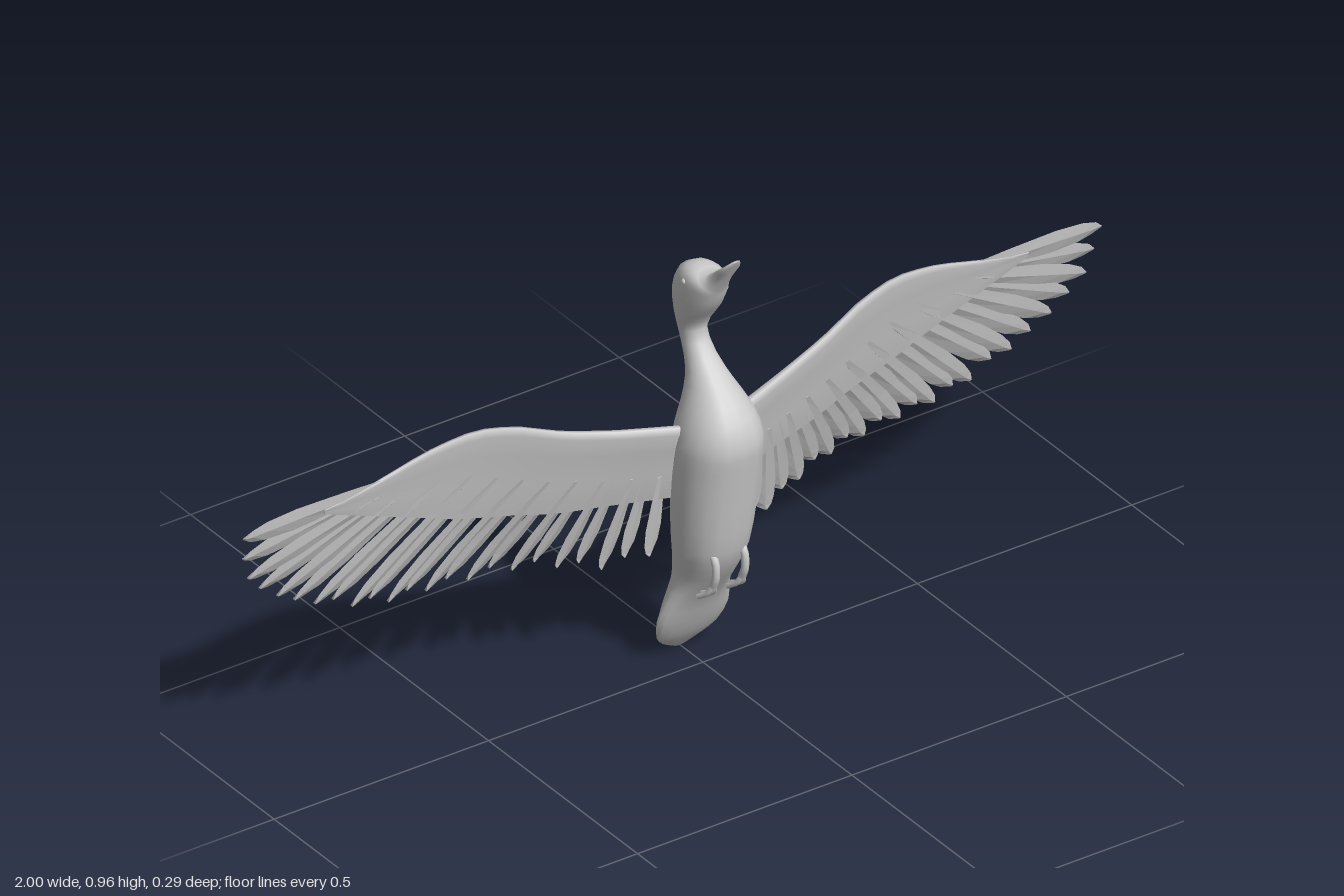
import * as THREE from 'three';

const material = new THREE.MeshStandardMaterial({ color: 0xcccccc, side: THREE.DoubleSide });
const V = (x, y, z) => new THREE.Vector3(x, y, z);

// Skin a list of closed rings, cap both ends, and turn the faces outward
function loft(name, rings, flat = false) {
  const n = rings[0].length, pts = rings.flat(), index = [];
  for (let i = 0; i < rings.length - 1; i++) {
    for (let j = 0; j < n; j++) {
      const a = i * n + j, b = i * n + (j + 1) % n;
      index.push(a, b, b + n, a, b + n, a + n);
    }
  }
  const last = rings.length - 1;
  for (const r of [0, last]) {
    const centre = rings[r].reduce((s, p) => s.add(p), V(0, 0, 0)).divideScalar(n);
    const c = pts.push(centre) - 1;
    for (let j = 0; j < n; j++) {
      const a = r * n + j, b = r * n + (j + 1) % n;
      if (r === 0) index.push(c, b, a); else index.push(c, a, b);
    }
  }
  let volume = 0;
  for (let i = 0; i < index.length; i += 3) {
    volume += pts[index[i]].dot(V(0, 0, 0).crossVectors(pts[index[i + 1]], pts[index[i + 2]]));
  }
  if (volume < 0) index.reverse();
  let geometry = new THREE.BufferGeometry().setFromPoints(pts);
  geometry.setIndex(index);
  if (flat) geometry = geometry.toNonIndexed();
  geometry.computeVertexNormals();
  const mesh = new THREE.Mesh(geometry, material);
  mesh.name = name;
  return mesh;
}

// Piecewise linear lookup in [x, value] pairs
function lookup(table, x) {
  if (x <= table[0][0]) return table[0][1];
  for (let i = 1; i < table.length; i++) {
    const [x0, v0] = table[i - 1], [x1, v1] = table[i];
    if (x <= x1) return v0 + (v1 - v0) * (x - x0) / (x1 - x0);
  }
  return table[table.length - 1][1];
}

// Sections from tail to bill: front z, front y, back z, back y, half width
const bodySections = [
  [-0.077, 0.002, -0.083, 0.004, 0.012], [-0.058, 0.025, -0.083, 0.02, 0.045],
  [-0.036, 0.055, -0.07, 0.05, 0.07], [-0.012, 0.1, -0.058, 0.1, 0.082],
  [0.012, 0.15, -0.055, 0.15, 0.073], [0.045, 0.2, -0.054, 0.2, 0.061],
  [0.077, 0.25, -0.051, 0.25, 0.066], [0.098, 0.3, -0.047, 0.3, 0.076],
  [0.117, 0.4, -0.043, 0.4, 0.085], [0.134, 0.5, -0.04, 0.5, 0.087],
  [0.14, 0.55, -0.034, 0.56, 0.084], [0.124, 0.6, -0.026, 0.61, 0.067],
  [0.08, 0.65, -0.029, 0.65, 0.045], [0.023, 0.7, -0.043, 0.69, 0.03],
  [-0.007, 0.748, -0.063, 0.735, 0.027], [0.02, 0.795, -0.073, 0.78, 0.038],
  [0.04, 0.822, -0.076, 0.83, 0.042], [0.052, 0.845, -0.055, 0.88, 0.042],
  [0.057, 0.858, -0.01, 0.9, 0.037], [0.063, 0.872, 0.027, 0.893, 0.025],
  [0.083, 0.908, 0.057, 0.917, 0.019], [0.099, 0.935, 0.085, 0.94, 0.022],
  [0.112, 0.958, 0.107, 0.96, 0.01],
];

function makeBody() {
  const fronts = new THREE.CatmullRomCurve3(bodySections.map(s => V(s[4], s[1], s[0])));
  const backs = new THREE.CatmullRomCurve3(bodySections.map(s => V(0, s[3], s[2])));
  const rings = [], steps = (bodySections.length - 1) * 2, sides = 18;
  for (let i = 0; i <= steps; i++) {
    const f = fronts.getPoint(i / steps), b = backs.getPoint(i / steps), ring = [];
    for (let j = 0; j < sides; j++) {
      const a = j / sides * Math.PI * 2, k = 0.5 + 0.5 * Math.cos(a), s = Math.sin(a);
      const x = f.x * Math.sign(s) * Math.pow(Math.abs(s), 0.85);
      ring.push(V(x, b.y + (f.y - b.y) * k, b.z + (f.z - b.z) * k));
    }
    rings.push(ring);
  }
  return loft('body', rings);
}

// Wing outline: leading edge height, covert edge height, leading edge depth by x
const leadY = [[0.04, 0.57], [0.1, 0.578], [0.2, 0.59], [0.3, 0.612], [0.4, 0.65], [0.46, 0.664],
  [0.52, 0.665], [0.6, 0.65], [0.7, 0.618], [0.8, 0.593], [1, 0.58]];
const trailY = [[0.04, 0.4], [0.3, 0.41], [0.5, 0.45], [0.7, 0.53], [0.82, 0.58]];
const leadZ = [[0.04, 0.045], [0.1, 0.03], [0.2, 0], [0.3, -0.023], [0.4, -0.042], [0.5, -0.056],
  [0.7, -0.078], [0.85, -0.09], [1, -0.1]];
const wingZ = (x, y) => lookup(leadZ, x) - 0.2 * (lookup(leadY, x) - y);

// Airfoil loop: chord fraction and depth offset
const airfoil = [[0, 0], [0.08, 0.008], [0.3, 0.004], [0.65, 0.002], [1, 0.002],
  [1, -0.004], [0.65, -0.015], [0.3, -0.032], [0.08, -0.026], [0, -0.012]];

function makeArm(side) {
  const rings = [];
  for (let i = 0; i <= 20; i++) {
    const x = 0.04 + 0.039 * i, top = lookup(leadY, x), low = lookup(trailY, x);
    const thick = 1 - 0.75 * i / 20;
    rings.push(airfoil.map(([c, d]) => {
      const y = top + (low - top) * c;
      return V(side * x, y, wingZ(x, y) + d * thick);
    }));
  }
  return loft('wingArm', rings);
}

// Flight feather: thin diamond sections along a line, tilted to overlap its neighbour
const vane = [[0, 0.5], [0.3, 0.8], [0.65, 1], [0.85, 0.88], [0.95, 0.6], [1, 0.15]];

function makeFeather(side, base, tip, halfWidth, layer) {
  const dir = tip.clone().sub(base).normalize();
  const across = V(-dir.y, dir.x, 0);
  const rings = vane.map(([t, w]) => {
    const c = base.clone().lerp(tip, t), hw = halfWidth * w;
    return [[-1, 0], [0, 0.004], [1, 0], [0, -0.004]].map(([u, d]) => {
      const p = c.clone().addScaledVector(across, u * hw);
      return V(side * p.x, p.y, wingZ(c.x, c.y) + layer + d + u * 0.006);
    });
  });
  return loft('flightFeather', rings, true);
}

function makeWing(side) {
  const wing = new THREE.Group();
  wing.name = side > 0 ? 'leftWing' : 'rightWing';
  wing.add(makeArm(side));
  const curve = list => new THREE.CatmullRomCurve3(list.map(([x, y]) => V(x, y, 0)));
  const tips = curve([[0.1, 0.26], [0.19, 0.245], [0.28, 0.27], [0.37, 0.285], [0.46, 0.285],
    [0.55, 0.287], [0.635, 0.29], [0.72, 0.31], [0.81, 0.35], [0.9, 0.402], [0.975, 0.472], [0.998, 0.579]]);
  const bases = curve([[0.1, 0.46], [0.2, 0.47], [0.3, 0.49], [0.4, 0.52], [0.5, 0.56], [0.6, 0.595], [0.67, 0.605]]);
  const count = 23;
  for (let i = 0; i < count; i++) {
    const t = i / (count - 1), outer = Math.max(0, (t - 0.55) / 0.45);
    const tip = tips.getPoint(t);
    // inner tips alternate a little in length
    if (t < 0.7) tip.y += (i % 2) * 0.014;
    wing.add(makeFeather(side, bases.getPoint(t), tip, 0.022 + 0.005 * outer, -0.003 - 0.004 * (i % 2)));
  }
  return wing;
}

// Tucked foot: bent leg and three webbed toes
function makeFoot(side) {
  const foot = new THREE.Group();
  foot.name = side > 0 ? 'leftFoot' : 'rightFoot';
  const x = side * 0.034;
  const path = new THREE.CatmullRomCurve3([V(x, 0.3, 0.075), V(x, 0.285, 0.09), V(x, 0.25, 0.092), V(x, 0.225, 0.082)]);
  const leg = new THREE.Mesh(new THREE.TubeGeometry(path, 10, 0.008, 8), material);
  leg.name = 'leg';
  foot.add(leg);
  for (const k of [-1, 0, 1]) {
    const toe = new THREE.CatmullRomCurve3([V(x, 0.235, 0.087),
      V(x + k * 0.007, 0.21, 0.075), V(x + k * 0.013, 0.193, 0.046 + Math.abs(k) * 0.006)]);
    const mesh = new THREE.Mesh(new THREE.TubeGeometry(toe, 8, 0.006, 6), material);
    mesh.name = 'toe';
    foot.add(mesh);
  }
  const webRings = [[0.236, 0.085, 0.005], [0.21, 0.073, 0.011], [0.197, 0.053, 0.015]].map(([y, z, w]) =>
    [V(x - w, y, z), V(x, y, z + 0.003), V(x + w, y, z), V(x, y, z - 0.003)]);
  foot.add(loft('web', webRings));
  return foot;
}

export function createModel() {
  const bird = new THREE.Group();
  bird.name = 'flyingDuck';
  bird.add(makeBody());
  for (const side of [1, -1]) {
    bird.add(makeWing(side), makeFoot(side));
    const eye = new THREE.Mesh(new THREE.SphereGeometry(0.007, 12, 8), material);
    eye.name = 'eye';
    eye.position.set(side * 0.037, 0.869, -0.008);
    bird.add(eye);
  }
  return bird;
}
